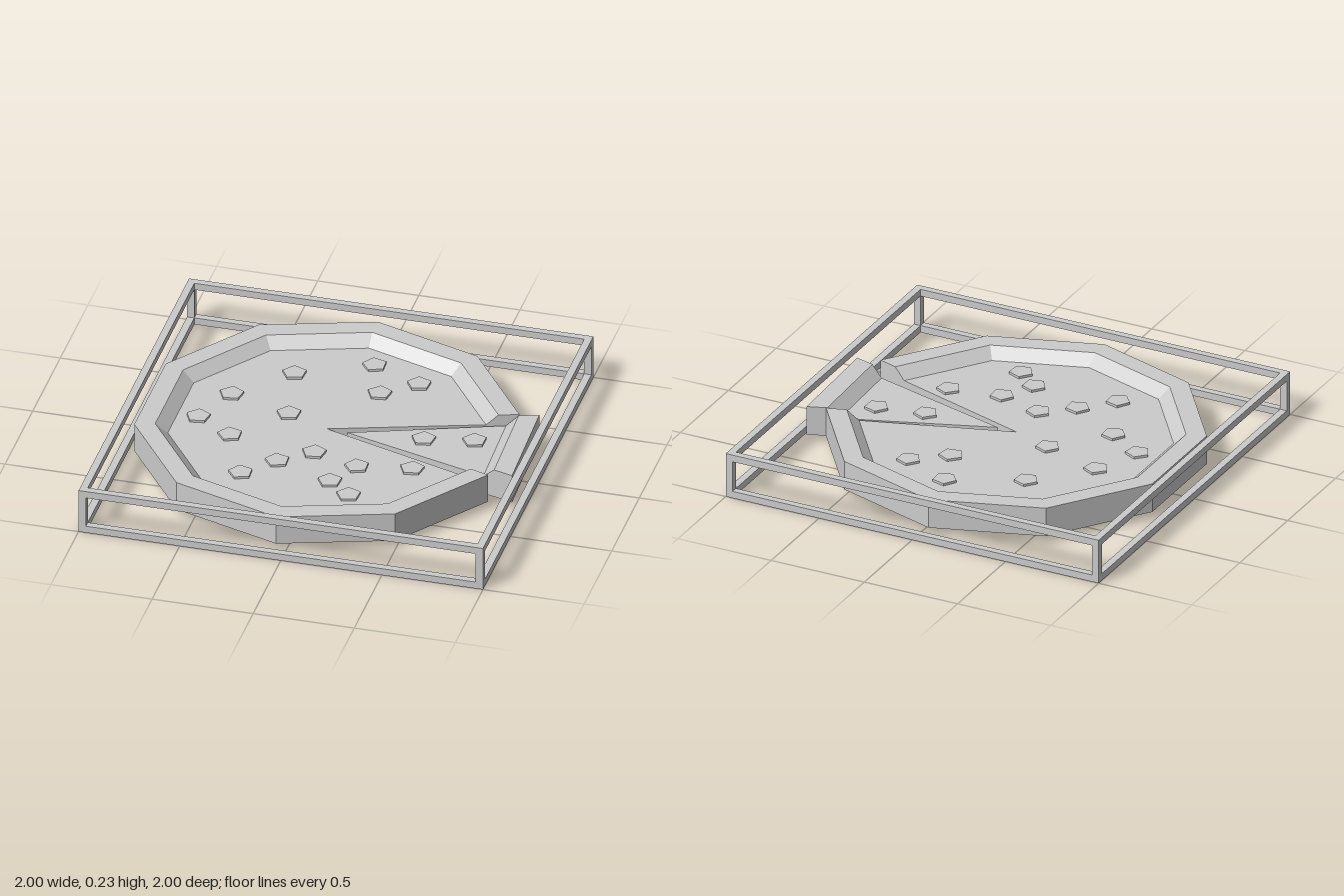
import * as THREE from 'three';

const BASE = 0.04, RIM = 0.19, FLOOR = 0.137;
const SEG = Math.PI / 5;

const flat = new THREE.MeshStandardMaterial({ color: 0xcccccc, flatShading: true });
const thin = new THREE.MeshStandardMaterial({ color: 0xcccccc, flatShading: true, side: THREE.DoubleSide });

function add(parent, name, geometry, material = flat) {
  const mesh = new THREE.Mesh(geometry, material);
  mesh.name = name;
  parent.add(mesh);
  return mesh;
}

// A run of ten-sided pie sectors with a raised crust, closed by two cut faces
function pie(name, start, count) {
  const group = new THREE.Group();
  group.name = name;
  const profile = [[0, BASE], [0.92, BASE], [0.92, RIM], [0.82, RIM], [0.76, FLOOR], [0, FLOOR]]
    .map(([r, y]) => new THREE.Vector2(r, y));
  add(group, 'crustAndFilling', new THREE.LatheGeometry(profile, count, start, count * SEG));
  for (const phi of [start, start + count * SEG]) {
    const face = add(group, 'cutFace', new THREE.ShapeGeometry(new THREE.Shape(profile)), thin);
    face.rotation.y = phi - Math.PI / 2;
  }
  return group;
}

// Thin five-sided toppings lying on the filling
function addToppings(parent, spots) {
  spots.forEach(([x, z], i) => {
    const topping = add(parent, 'topping', new THREE.CylinderGeometry(0.06, 0.06, 0.014, 5));
    topping.position.set(x, FLOOR + 0.005, z);
    topping.rotation.y = Math.PI / 4 + (i % 3) * 0.1;
  });
}

// Twelve bars outlining the open box
function boxFrame() {
  const group = new THREE.Group();
  group.name = 'boxFrame';
  const t = 0.036, h = 0.23, e = 1 - t / 2;
  for (const s of [-1, 1]) {
    for (const y of [t / 2, h - t / 2]) {
      add(group, 'sideBar', new THREE.BoxGeometry(t, t, 2)).position.set(s * e, y, 0);
      add(group, 'crossBar', new THREE.BoxGeometry(2 - 2 * t, t, t)).position.set(0, y, s * e);
    }
    for (const z of [-e, e]) {
      add(group, 'cornerPost', new THREE.BoxGeometry(t, h - 2 * t, t)).position.set(s * e, h / 2, z);
    }
  }
  return group;
}

export function createModel() {
  const model = new THREE.Group();
  model.name = 'boxedPie';
  model.add(boxFrame());

  const main = pie('mainPie', 3 * SEG, 9);
  main.position.x = -0.045;
  addToppings(main, [
    [-0.52, -0.18], [-0.28, -0.44], [0.07, -0.61], [-0.62, 0.06], [-0.21, -0.08], [-0.43, 0.18],
    [0.16, -0.37], [0.32, -0.5], [-0.15, 0.35], [0, 0.23], [0.14, 0.46], [0.23, 0.3],
    [0.49, 0.25], [0.26, 0.56], [-0.29, 0.5],
  ]);
  model.add(main);

  // Cut slice, pulled out and turned a little
  const slice = pie('slice', 2 * SEG, 1);
  slice.position.set(0.057, -0.002, 0.005);
  slice.rotation.y = 0.035;
  addToppings(slice, [[0.37, -0.02], [0.61, -0.06]]);
  model.add(slice);

  return model;
}
